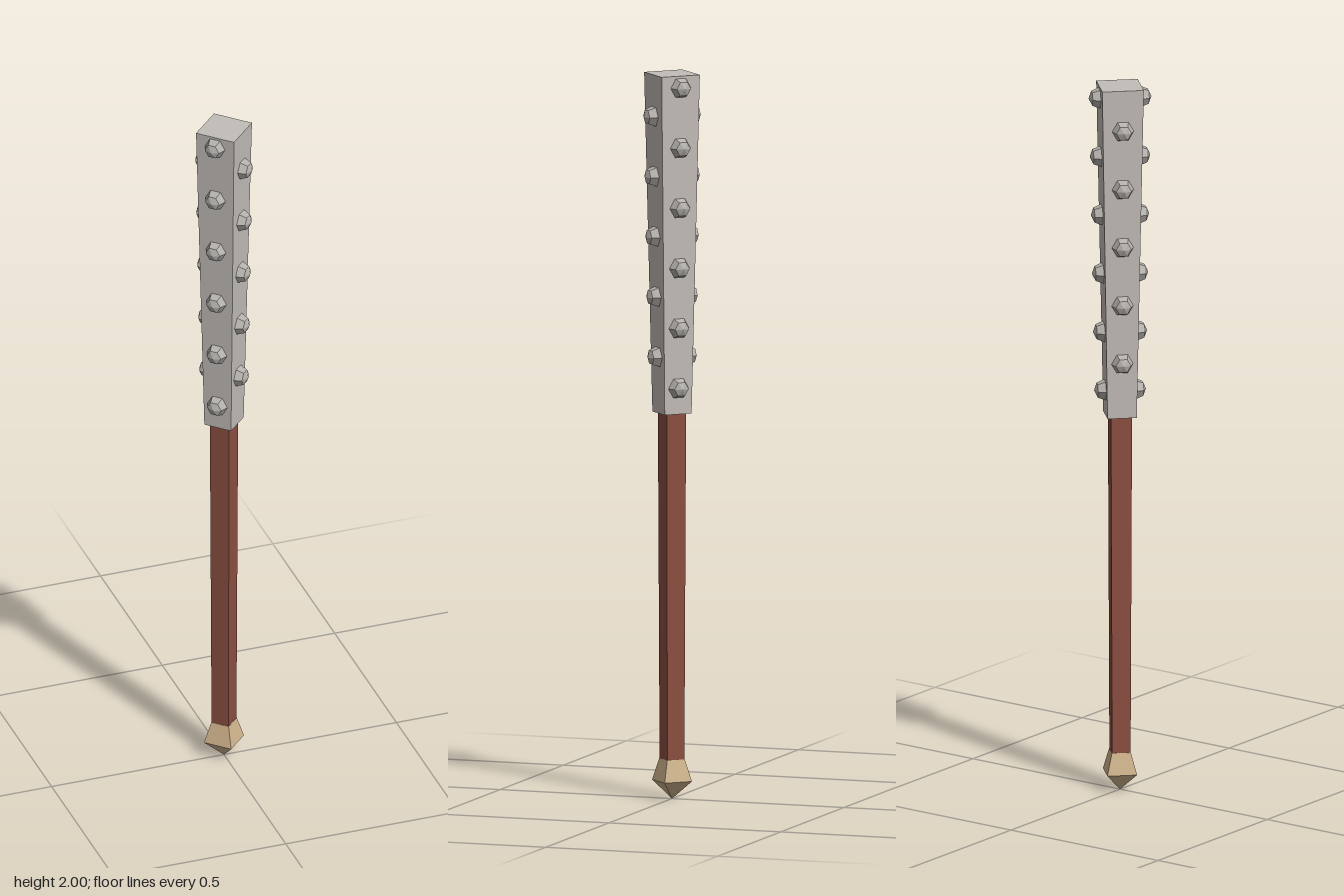
import * as THREE from 'three';

const material = (name, color) => {
  const m = new THREE.MeshStandardMaterial({ color, flatShading: true });
  m.name = name;
  return m;
};

export function createModel() {
  const club = new THREE.Group();
  club.name = 'studdedClub';

  const paleSteel = material('paleSteel', 0xc2bdb8);
  const studSteel = material('studSteel', 0xb5b1ac);
  const redWood = material('redWood', 0x8c4f41);
  const brass = material('brass', 0xcfb48c);

  // Four-sided tapered bar with its corners on the x and z axes
  const addBar = (name, rTop, rBottom, y0, y1, mat) => {
    const geo = new THREE.CylinderGeometry(rTop, rBottom, y1 - y0, 4);
    const mesh = new THREE.Mesh(geo, mat);
    mesh.name = name;
    mesh.position.y = (y0 + y1) / 2;
    club.add(mesh);
  };

  const HEAD = { y0: 1.065, y1: 2, rBottom: 0.057, rTop: 0.081 };
  addBar('head', HEAD.rTop, HEAD.rBottom, HEAD.y0, HEAD.y1, paleSteel);
  addBar('handle', 0.041, 0.036, 0.1, HEAD.y0, redWood);

  // Pommel: flared collar that closes to a point
  const profile = [[0, 0], [0.058, 0.05], [0.037, 0.11], [0, 0.11]];
  const pommel = new THREE.Mesh(
    new THREE.LatheGeometry(profile.map(([r, y]) => new THREE.Vector2(r, y)), 4), brass);
  pommel.name = 'pommel';
  club.add(pommel);

  // Faceted dome studs, staggered between neighbouring faces
  const dome = new THREE.SphereGeometry(0.03, 6, 2, 0, Math.PI * 2, 0, Math.PI / 2);
  dome.rotateX(Math.PI / 2);
  const tilt = Math.atan((HEAD.rTop - HEAD.rBottom) * Math.SQRT1_2 / (HEAD.y1 - HEAD.y0));
  for (let face = 0; face < 4; face++) {
    const row = new THREE.Group();
    row.name = 'studRow' + (face + 1);
    row.rotation.y = Math.PI / 4 + face * Math.PI / 2;
    const odd = face % 2;
    const count = odd ? 6 : 5;
    for (let i = 0; i < count; i++) {
      const y = (odd ? 1.137 : 1.221) + i * 0.166;
      const t = (y - HEAD.y0) / (HEAD.y1 - HEAD.y0);
      const r = THREE.MathUtils.lerp(HEAD.rBottom, HEAD.rTop, t);
      const stud = new THREE.Mesh(dome, studSteel);
      stud.name = 'stud';
      stud.position.set(0, y, r * Math.SQRT1_2);
      stud.rotation.x = tilt;
      row.add(stud);
    }
    club.add(row);
  }

  return club;
}
